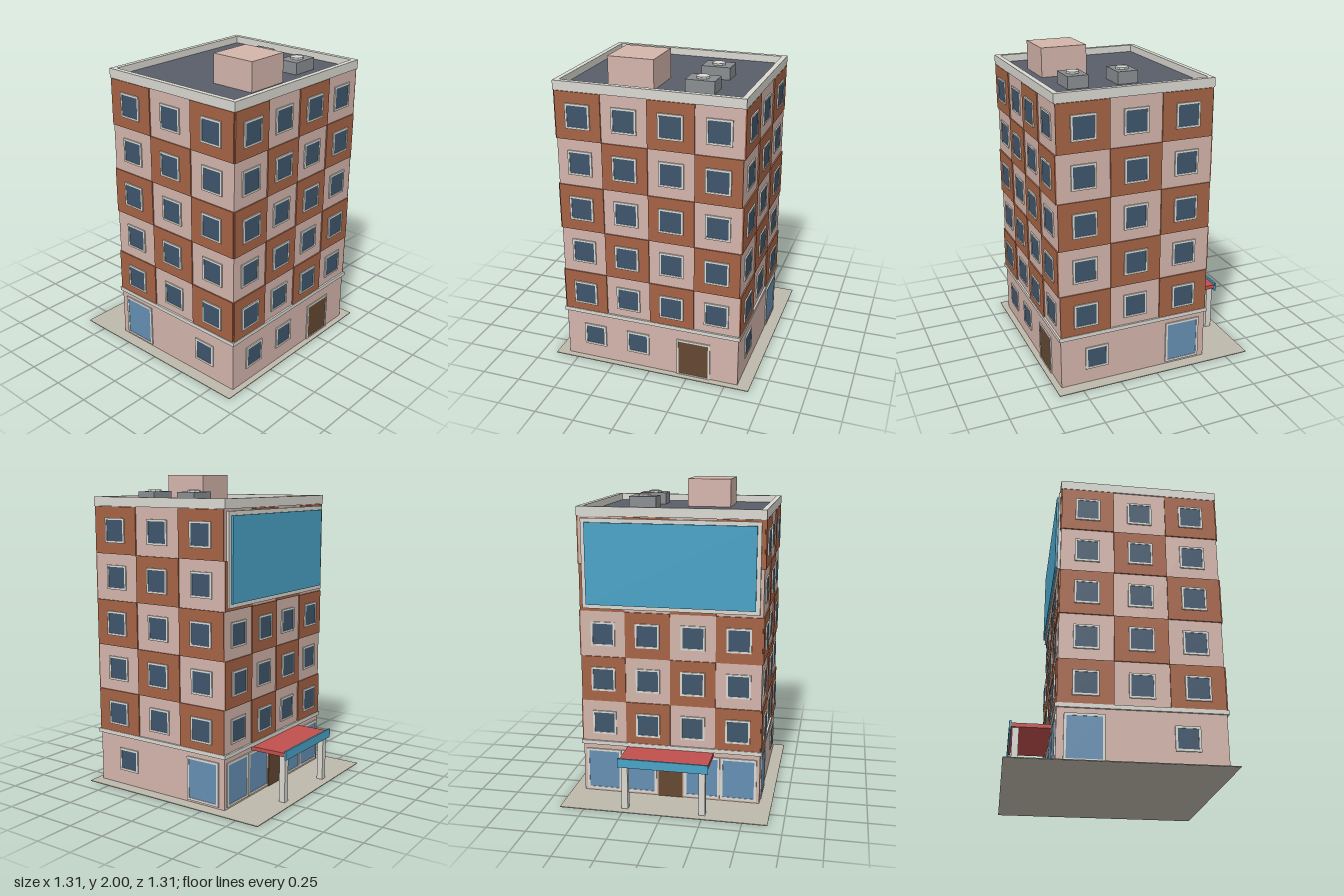
import * as THREE from 'three';

const mat = (color) => new THREE.MeshStandardMaterial({ color });
const M = {
  pink: mat(0xd3b5ab), brown: mat(0xa56345), trim: mat(0xd9d8d1), glass: mat(0x3f566c),
  shopGlass: mat(0x658fb3), door: mat(0x654832), roof: mat(0x585e69), vent: mat(0x8a8e91),
  ground: mat(0xbdb8ab), red: mat(0xc0504d), blue: mat(0x4aa3c7),
};

// Footprint of the tower
const X = 0.575, Z0 = -0.37, Z1 = 0.615, ZC = (Z0 + Z1) / 2, DEPTH = Z1 - Z0;
const FLOOR_Y = 0.335, STOREY = 0.294, FLOORS = 5;

// Box given by its min and max corners
function box(parent, name, material, x0, x1, y0, y1, z0, z1) {
  const mesh = new THREE.Mesh(new THREE.BoxGeometry(x1 - x0, y1 - y0, z1 - z0), material);
  mesh.position.set((x0 + x1) / 2, (y0 + y1) / 2, (z0 + z1) / 2);
  mesh.name = name;
  parent.add(mesh);
  return mesh;
}

// Wall frame: local x runs along the wall, local +z points outwards from its surface
function wall(parent, name, x, z, angle) {
  const g = new THREE.Group();
  g.name = name;
  g.position.set(x, 0, z);
  g.rotation.y = angle;
  parent.add(g);
  return g;
}

// Raised frame with a pane set into the middle of it
function opening(g, name, paneMat, cx, cy, w, h, border, base = 0) {
  const s = new THREE.Shape();
  s.moveTo(-w / 2, -h / 2).lineTo(w / 2, -h / 2).lineTo(w / 2, h / 2).lineTo(-w / 2, h / 2).closePath();
  const a = w / 2 - border, b = h / 2 - border;
  const hole = new THREE.Path();
  hole.moveTo(-a, -b).lineTo(-a, b).lineTo(a, b).lineTo(a, -b).closePath();
  s.holes.push(hole);
  const geo = new THREE.ExtrudeGeometry(s, { depth: 0.008, bevelEnabled: false });
  const frame = new THREE.Mesh(geo, M.trim);
  frame.name = name + 'Frame';
  frame.position.set(cx, cy, base);
  g.add(frame);
  box(g, name + 'Pane', paneMat, cx - a, cx + a, cy - b, cy + b, base, base + 0.005);
}

// Checkerboard of raised brown panels, one window in every cell
function facade(g, width, columns, firstHiddenRow = FLOORS) {
  const cell = width / columns;
  for (let r = 0; r < FLOORS; r++) {
    for (let c = 0; c < columns; c++) {
      const x = -width / 2 + (c + 0.5) * cell, y = FLOOR_Y + r * STOREY;
      // Back walls run the other way, so an even column count is flipped
      const flip = g.name === 'backWall' ? 1 : 0;
      const raised = (r + c + flip) % 2 === 0;
      if (raised) box(g, 'brownPanel', M.brown, x - cell / 2, x + cell / 2, y, y + STOREY, 0, 0.008);
      if (r < firstHiddenRow)
        opening(g, 'window', M.glass, x, y + STOREY / 2, 0.155, 0.155, 0.012, raised ? 0.008 : 0);
    }
  }
}

export function createModel() {
  const model = new THREE.Group();
  model.name = 'apartmentBlock';

  box(model, 'pavement', M.ground, -0.655, 0.655, 0, 0.005, -0.655, 0.655);
  box(model, 'tower', M.pink, -X, X, 0.002, 1.815, Z0, Z1);
  box(model, 'floorBand', M.trim, -X - 0.012, X + 0.012, 0.33, 0.355, Z0 - 0.012, Z1 + 0.012);

  // Front wall with entrance
  const front = wall(model, 'frontWall', 0, Z1, 0);
  facade(front, 2 * X, 4);
  for (const x of [-0.38, -0.085]) opening(front, 'groundWindow', M.glass, x, 0.175, 0.15, 0.15, 0.014);
  opening(front, 'frontDoor', M.door, 0.285, 0.13, 0.22, 0.26, 0.013);

  // Side walls mirror each other
  for (const s of [1, -1]) {
    const side = wall(model, s > 0 ? 'leftWall' : 'rightWall', s * X, ZC, s * Math.PI / 2);
    facade(side, DEPTH, 3);
    const along = (z) => -s * (z - ZC);
    opening(side, 'groundWindow', M.glass, along(0.38), 0.175, 0.15, 0.15, 0.014);
    opening(side, 'shopWindow', M.shopGlass, along(-0.21), 0.158, 0.235, 0.28, 0.015);
  }

  // Back wall with shop front and billboard
  const back = wall(model, 'backWall', 0, Z0, Math.PI);
  facade(back, 2 * X, 4, 3);
  for (const x of [-0.44, -0.205, 0.205, 0.44])
    opening(back, 'shopWindow', M.shopGlass, x, 0.158, 0.23, 0.28, 0.015);
  box(back, 'backDoor', M.door, -0.08, 0.08, 0.005, 0.225, 0, 0.006);
  box(back, 'billboardFrame', M.trim, -0.555, 0.555, 1.235, 1.795, 0, 0.018);
  box(back, 'billboardPanel', M.blue, -0.53, 0.53, 1.26, 1.77, 0.018, 0.03);

  // Entrance canopy
  box(model, 'canopyRoof', M.red, -0.28, 0.28, 0.305, 0.33, -0.612, Z0);
  box(model, 'canopyFascia', M.blue, -0.285, 0.285, 0.288, 0.345, -0.624, -0.612);
  for (const s of [-1, 1])
    box(model, 'canopyPost', M.trim, s * 0.245 - 0.02, s * 0.245 + 0.02, 0.005, 0.305, -0.605, -0.565);

  // Roof and parapet
  const px = 0.583, pz0 = -0.378, pz1 = 0.623, t = 0.032, y0 = 1.807, y1 = 1.865;
  box(model, 'roofDeck', M.roof, -px + t, px - t, 1.81, 1.82, pz0 + t, pz1 - t);
  for (const s of [-1, 1])
    box(model, 'parapetSide', M.trim, s > 0 ? px - t : -px, s > 0 ? px : t - px, y0, y1, pz0, pz1);
  box(model, 'parapetFront', M.trim, -px + t, px - t, y0, y1, pz1 - t, pz1);
  box(model, 'parapetBack', M.trim, -px + t, px - t, y0, y1, pz0, pz0 + t);

  // Rooftop stairhouse and vent units
  box(model, 'stairhouse', M.pink, -0.287, -0.003, 1.815, 2, 0.2, 0.49);
  for (const z of [0.077, 0.39]) {
    box(model, 'ventUnit', M.vent, 0.172, 0.35, 1.815, 1.895, z - 0.065, z + 0.065);
    const fan = new THREE.Mesh(new THREE.CylinderGeometry(0.041, 0.041, 0.012, 8), M.trim);
    fan.material.flatShading = false;
    fan.geometry = fan.geometry.toNonIndexed();
    fan.geometry.computeVertexNormals();
    fan.position.set(0.261, 1.901, z);
    fan.name = 'ventFan';
    model.add(fan);
  }
  return model;
}
